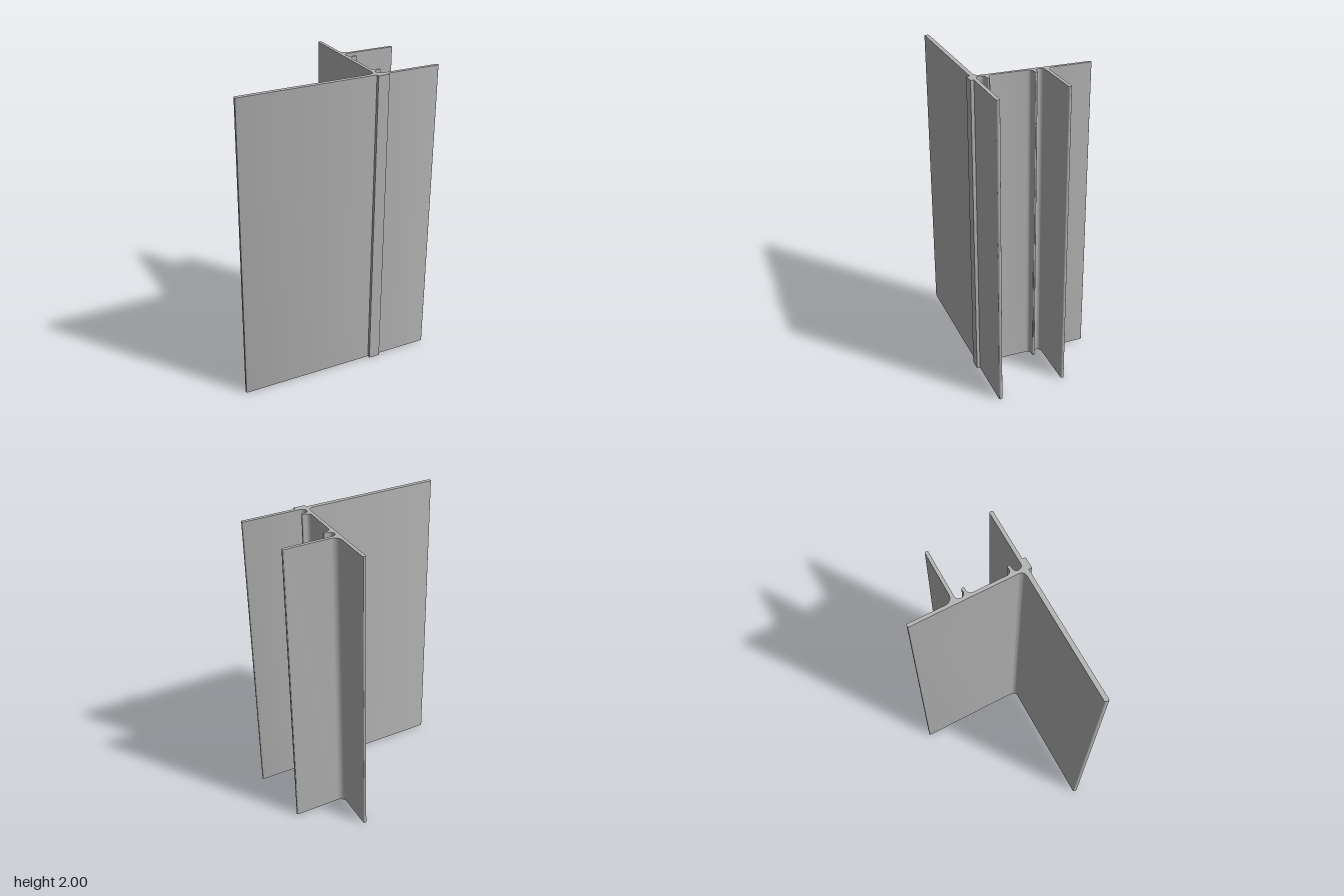
import * as THREE from 'three';
import { toCreasedNormals } from 'three/addons/utils/BufferGeometryUtils.js';

const HEIGHT = 2;

// Closed outline from [x, z, cornerRadius] points; every corner is rounded by its radius.
function roundedOutline(points) {
  const shape = new THREE.Shape();
  const n = points.length;
  const k = 0.5523; // circular-arc handle length
  const at = (i) => {
    const p = points[(i + n) % n];
    return new THREE.Vector2(p[0], -p[1]);
  };
  for (let i = 0; i < n; i++) {
    const c = at(i), r = points[i][2];
    const toPrev = at(i - 1).sub(c).normalize();
    const toNext = at(i + 1).sub(c).normalize();
    const a = c.clone().addScaledVector(toPrev, r);
    const b = c.clone().addScaledVector(toNext, r);
    if (i === 0) shape.moveTo(a.x, a.y);
    else shape.lineTo(a.x, a.y);
    if (r > 0) {
      const h1 = c.clone().addScaledVector(toPrev, r * (1 - k));
      const h2 = c.clone().addScaledVector(toNext, r * (1 - k));
      shape.bezierCurveTo(h1.x, h1.y, h2.x, h2.y, b.x, b.y);
    }
  }
  shape.closePath();
  return shape;
}

export function createModel() {
  const metal = new THREE.MeshStandardMaterial({ color: 0xb4b4b4 });
  metal.name = 'grey metal';

  const outline = roundedOutline([
    // wide front plate
    [-0.665, 0.372, 0.003], [-0.665, 0.343, 0.012], [0.232, 0.343, 0.035],
    // web
    [0.232, -0.395, 0.008], [0.254, -0.395, 0.008],
    // rear flange
    [0.254, -0.102, 0.048], [0.608, -0.102, 0.009], [0.608, -0.08, 0.009],
    // rear groove and lip
    [0.254, -0.08, 0.028], [0.254, -0.023, 0.028],
    [0.306, -0.023, 0.008], [0.306, -0.005, 0.008], [0.254, -0.005, 0.028],
    // front lip and groove
    [0.254, 0.272, 0.028], [0.306, 0.272, 0.008], [0.306, 0.29, 0.008],
    [0.254, 0.29, 0.028], [0.254, 0.348, 0.028],
    // narrow front plate
    [0.665, 0.348, 0.011], [0.665, 0.372, 0.011],
    // raised front strip
    [0.306, 0.372, 0], [0.306, 0.393, 0], [0.231, 0.393, 0], [0.231, 0.372, 0],
  ]);

  let geometry = new THREE.ExtrudeGeometry(outline, {
    depth: HEIGHT, bevelEnabled: false, curveSegments: 8,
  });
  geometry.rotateX(-Math.PI / 2); // stand the bar upright
  geometry = toCreasedNormals(geometry, Math.PI / 6);

  const profile = new THREE.Mesh(geometry, metal);
  profile.name = 'extrudedProfile';

  const group = new THREE.Group();
  group.name = 'trimProfile';
  group.add(profile);
  return group;
}
